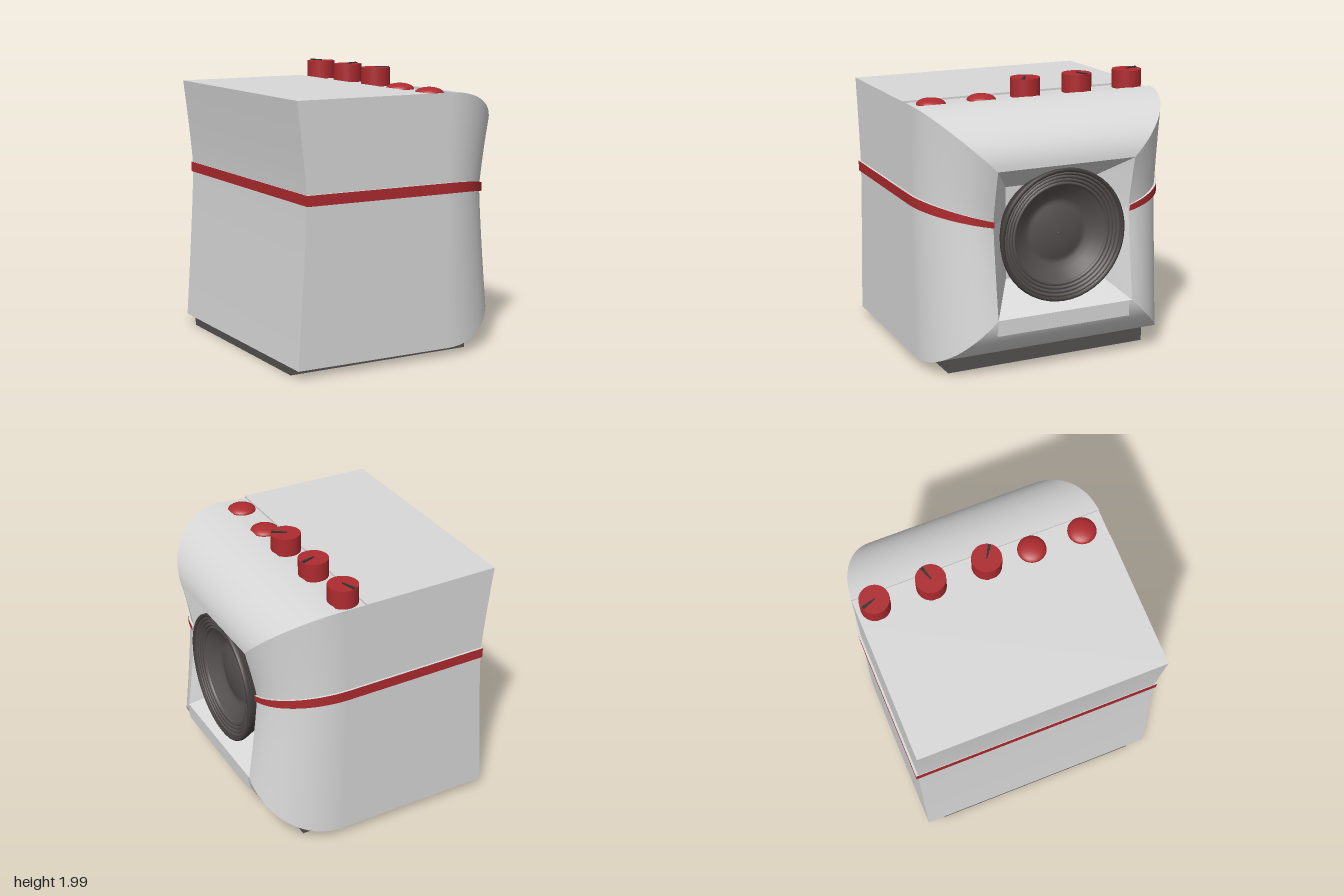
import * as THREE from 'three';

const mat = (name, color, side = THREE.FrontSide) => {
  const m = new THREE.MeshStandardMaterial({ color, side });
  m.name = name;
  return m;
};

// Surface grid over a in 0..na and b in 0..nb; it faces (d/da x d/db)
function grid(na, nb, fn) {
  const pos = [], idx = [];
  for (let a = 0; a <= na; a++) for (let b = 0; b <= nb; b++) pos.push(...fn(a, b));
  for (let a = 0; a < na; a++) for (let b = 0; b < nb; b++) {
    const p = a * (nb + 1) + b, q = p + nb + 1;
    idx.push(p, q, p + 1, q, q + 1, p + 1);
  }
  const g = new THREE.BufferGeometry();
  g.setAttribute('position', new THREE.Float32BufferAttribute(pos, 3));
  g.setIndex(idx);
  g.computeVertexNormals();
  return g;
}

export function createModel() {
  const shell = mat('light grey shell', 0xd9d9d9);
  const red = mat('red trim', 0xae2b2f);
  const cone = mat('speaker grey', 0x575151, THREE.DoubleSide);
  const rim = mat('speaker rim grey', 0x464140, THREE.DoubleSide);
  const dark = mat('base grey', 0x555151);
  const black = mat('pointer black', 0x303333);

  const model = new THREE.Group();
  const cabinet = new THREE.Group();
  cabinet.name = 'cabinet';
  cabinet.position.z = 0.025;
  const turned = new THREE.Group();
  turned.name = 'turnedAmplifier';
  turned.rotation.y = -0.15;
  turned.add(cabinet);
  model.add(turned);
  const add = (name, geo, material, x = 0, y = 0, z = 0) => {
    const m = new THREE.Mesh(geo, material);
    m.name = name;
    m.position.set(x, y, z);
    cabinet.add(m);
    return m;
  };
  const both = (name, geo, material) => {
    add(name + 'Left', geo, material);
    add(name + 'Right', geo, material).scale.z = -1;
  };

  // Square sections from back to front: depth u, half height h, half width w, normal (nu, nw)
  const CY = 0.96, BACK = -0.83, FRONT = 0.89, BEND = 0.36, WAIST = 0.27, MOUTH = 0.518;
  const stations = [{ u: BACK, h: 0.9, w: 0.9, nu: -0.3, nw: 1 }];
  const steps = 16;
  for (let i = 0; i <= steps; i++) {
    const t = (i / steps) * Math.PI / 2, s = Math.sin(t), c = Math.cos(t);
    stations.push({ u: BEND + (FRONT - BEND) * s, h: MOUTH + (0.9 - MOUTH) * c, w: MOUTH + (0.915 - MOUTH) * c, nu: s, nw: c });
  }
  const n = stations.length - 1;

  // The back and the sides are pinched along the waist
  const pinch = f => 1 - Math.pow(f > WAIST ? (f - WAIST) / (1 - WAIST) : (WAIST - f) / (1 + WAIST), 1.2);
  const sideU = (u, f) => u + pinch(f) * THREE.MathUtils.lerp(0.07, -0.08, (u - BACK) / (FRONT - BACK));
  const side = (i, f, off = 0) => {
    const s = stations[i];
    return [sideU(s.u, f) + s.nu * off, CY + s.h * f, s.w + s.nw * off];
  };

  // Shell walls
  for (const [name, f0, f1] of [['lower', -1, WAIST], ['upper', WAIST, 1]]) {
    const f = k => f0 + (f1 - f0) * k / 8;
    both(name + 'Side', grid(n, 8, (a, b) => side(a, f(b))), shell);
    add(name + 'Back', grid(1, 8, (a, b) =>
      [sideU(BACK, f(b)), CY + 0.9 * f(b), (a * 2 - 1) * 0.9]), shell);
    // Side walls of the speaker recess
    both(name + 'RecessSide', grid(8, 1, (a, b) => b
      ? [sideU(FRONT, f(a)), CY + MOUTH * f(a), MOUTH]
      : [0.6, CY + 0.33 * f(a), 0.33]), shell);
  }
  // Top, with a shallow trough for the controls; points are depth, height, half width
  const across = (name, pts) => add(name, grid(1, pts.length - 1, (a, b) =>
    [pts[b][0], pts[b][1], (a * 2 - 1) * pts[b][2]]), shell);
  const FLOOR = 1.846;
  const troughBack = [0.18, 1.86, 0.9125], troughFront = [0.386, 1.8596, 0.9146];
  const sunk = ([u, , w]) => [u, FLOOR, w];
  across('topBack', [[BACK, 1.86, 0.9], troughBack]);
  across('troughBackWall', [troughBack, sunk(troughBack)]);
  across('controlPanel', [sunk(troughBack), sunk(troughFront)]);
  across('troughFrontWall', [sunk(troughFront), troughFront]);
  across('topFront', [troughFront, ...stations.slice(2).map(s => [s.u, CY + s.h, s.w])]);

  add('underside', grid(n, 1, (a, b) =>
    [stations[a].u, CY - stations[a].h, (b * 2 - 1) * stations[a].w]), shell);
  const recess = (k, v, sy) => k
    ? [FRONT, CY + sy * MOUTH, (v * 2 - 1) * MOUTH]
    : [0.6, CY + sy * 0.33, (v * 2 - 1) * 0.33];
  add('recessTop', grid(1, 1, (a, b) => recess(a, b, 1)), shell);
  add('recessBottom', grid(1, 1, (a, b) => recess(b, a, -1)), shell);
  add('recessBack', grid(1, 1, (a, b) => [0.6, CY + (a * 2 - 1) * 0.33, (b * 2 - 1) * 0.33]), shell);
  add('frontSill', new THREE.BoxGeometry(0.14, 0.11, 1.015), shell, FRONT - 0.07, 0.385, 0.012);

  // Red band round the sides and back, on a raised grey lip
  const lo = 0.228, hi = 0.31, OUT = 0.016;
  both('bandSide', grid(n, 1, (a, b) => side(a, b ? hi : lo, OUT)), red);
  both('bandSideTopLip', grid(n, 1, (a, b) => side(a, hi, b ? 0 : OUT)), shell);
  both('bandSideBottomLip', grid(n, 1, (a, b) => side(a, lo, b ? OUT : 0)), shell);
  both('bandEnd', grid(1, 1, (a, b) => side(n, b ? hi : lo, a ? 0 : OUT)), shell);
  const backPt = (v, f, off) => {
    const p = side(0, f, off);
    return [p[0], p[1], (v * 2 - 1) * p[2]];
  };
  add('bandBack', grid(1, 1, (a, b) => backPt(a, b ? hi : lo, OUT)), red);
  add('bandBackTopLip', grid(1, 1, (a, b) => backPt(a, hi, b ? 0 : OUT)), shell);
  add('bandBackBottomLip', grid(1, 1, (a, b) => backPt(a, lo, b ? OUT : 0)), shell);

  // Speaker: ridged surround and a cone with a soft dust cap, turned about the forward axis
  const lathe = (name, pts, material) => {
    const g = new THREE.LatheGeometry(pts.map(p => new THREE.Vector2(...p)), 48);
    add(name, g, material, 0.855, 0.97, 0.004).rotation.z = -Math.PI / 2;
  };
  lathe('speakerRim', [[0.4, -0.2], [0.46, -0.06], [0.473, -0.025], [0.471, -0.005], [0.458, 0], [0.445, -0.012]], rim);
  const ridges = [];
  for (let i = 0; i < 4; i++) {
    const r = 0.445 - i * 0.025, y = -0.012 - i * 0.008;
    ridges.push([r, y - 0.012], [r - 0.005, y], [r - 0.018, y - 0.003], [r - 0.023, y - 0.016]);
  }
  ridges.push([0.345, -0.055]);
  lathe('speakerSurround', ridges, cone);
  lathe('speakerCone', [[0.345, -0.055], [0.28, -0.1], [0.235, -0.125], [0.215, -0.13], [0.195, -0.127],
    [0.15, -0.112], [0.08, -0.101], [0.001, -0.097]], cone);

  // Knobs with slim wedge pointers; angle is measured in plan
  const knobGeo = new THREE.CylinderGeometry(0.106, 0.106, 0.134, 32);
  const wedge = new THREE.Shape([[-0.005, -0.003], [0.1, -0.011], [0.1, 0.011], [-0.005, 0.003]]
    .map(p => new THREE.Vector2(...p)));
  const pointerGeo = new THREE.ExtrudeGeometry(wedge, { depth: 0.009, bevelEnabled: false });
  pointerGeo.rotateX(-Math.PI / 2);
  for (const [z, angle] of [[-0.777, 1.9], [-0.371, 0.3], [0.036, -0.57]]) {
    add('knob', knobGeo, red, 0.288, FLOOR + 0.066, z);
    add('knobPointer', pointerGeo, black, 0.288, FLOOR + 0.132, z).rotation.y = angle;
  }
  // Domed buttons
  const domeGeo = new THREE.SphereGeometry(0.102, 32, 12, 0, Math.PI * 2, 0, Math.PI / 2);
  domeGeo.scale(1, 0.42, 1);
  for (const z of [0.37, 0.745]) add('domeButton', domeGeo, red, 0.287, FLOOR, z);

  // Plinth: thin dark skirt round a recessed light panel
  const rect = (Type, x, z) => new Type([[-x, -z], [x, -z], [x, z], [-x, z]].map(p => new THREE.Vector2(...p)));
  const frame = rect(THREE.Shape, 0.708, 0.77);
  frame.holes.push(rect(THREE.Path, 0.688, 0.75));
  const frameGeo = new THREE.ExtrudeGeometry(frame, { depth: 0.1, bevelEnabled: false });
  frameGeo.rotateX(-Math.PI / 2);
  add('plinthFrame', frameGeo, dark, -0.112, 0, 0);
  add('plinthPanel', new THREE.BoxGeometry(1.376, 0.04, 1.5), shell, -0.112, 0.06, 0);

  return model;
}
